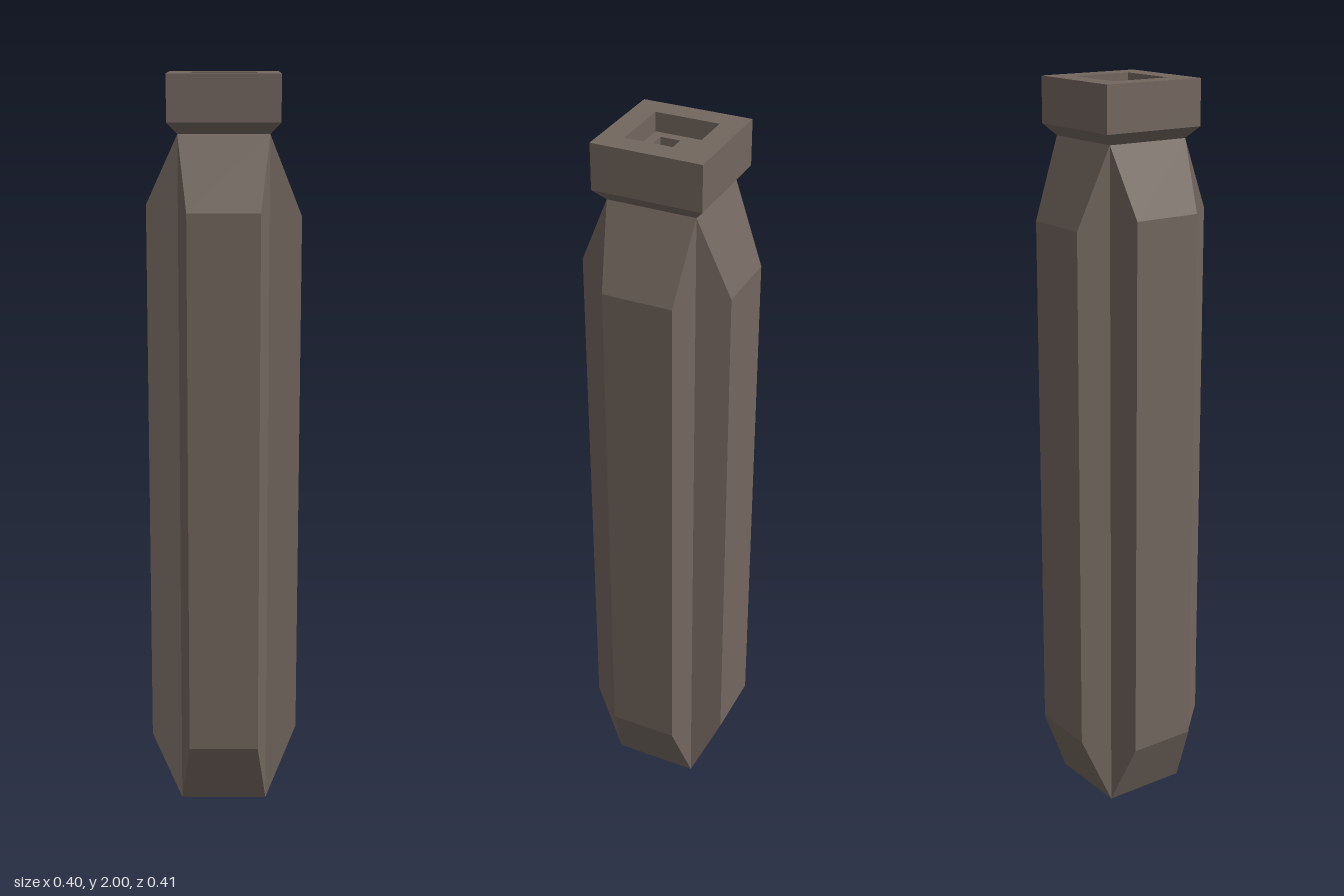
import * as THREE from 'three';

const CORE = 0.118, NECK_Y = 1.85, CAP = 0.145, CAP_Y = 1.88;

// Flat-shaded geometry from quads listed counter-clockwise seen from outside
function quads(list) {
  const pos = [];
  for (const [a, b, c, d] of list) pos.push(...a, ...b, ...c, ...a, ...c, ...d);
  const g = new THREE.BufferGeometry();
  g.setAttribute('position', new THREE.Float32BufferAttribute(pos, 3));
  g.computeVertexNormals();
  return g;
}

// One bulging side panel facing +z, tapering into the core at both ends
function panelGeometry(low, high, out) {
  const w = 0.094;
  const A0 = [-CORE, 0, CORE], B0 = [CORE, 0, CORE];
  const A1 = [-CORE, NECK_Y, CORE], B1 = [CORE, NECK_Y, CORE];
  const a0 = [-w, low, out], b0 = [w, low, out];
  const a1 = [-w, high, out], b1 = [w, high, out];
  return quads([
    [a0, b0, b1, a1],
    [a1, b1, B1, A1],
    [A0, B0, b0, a0],
    [A0, a0, a1, A1],
    [b0, B0, B1, b1],
  ]);
}

function rect(Type, x0, x1, y0, y1) {
  const p = new Type();
  p.moveTo(x0, y0).lineTo(x1, y0).lineTo(x1, y1).lineTo(x0, y1).closePath();
  return p;
}

// Square slab with a square hole, lying flat with its base at y
function slabWithHole(hole, y, height) {
  const s = rect(THREE.Shape, -CAP, CAP, -CAP, CAP);
  s.holes.push(rect(THREE.Path, ...hole));
  return new THREE.ExtrudeGeometry(s, { depth: height, bevelEnabled: false })
    .rotateX(-Math.PI / 2).translate(0, y, 0);
}

export function createModel() {
  const stone = new THREE.MeshStandardMaterial({ color: 0x73675f, flatShading: true });
  stone.name = 'brown stone';
  const model = new THREE.Group();
  model.name = 'pillar';
  const add = (name, geometry, parent) => {
    const m = new THREE.Mesh(geometry, stone);
    m.name = name;
    parent.add(m);
    return m;
  };

  // Shaft: four panels around a square core
  const shaft = new THREE.Group();
  shaft.name = 'shaft';
  const panels = [
    ['frontPanel', 0.19, 1.66, 0.203],
    ['leftPanel', 0.21, 1.64, 0.202],
    ['backPanel', 0.2, 1.64, 0.202],
    ['rightPanel', 0.185, 1.67, 0.201],
  ];
  panels.forEach(([name, low, high, out], i) => {
    add(name, panelGeometry(low, high, out), shaft).rotation.y = i * Math.PI / 2;
  });

  // Square underside
  add('base', new THREE.PlaneGeometry(2 * CORE, 2 * CORE).rotateX(Math.PI / 2), shaft);
  shaft.position.set(-0.002, 0, -0.001);
  model.add(shaft);

  // Cap: flared neck, solid bottom, recess floor with a small pit, open rim
  const cap = new THREE.Group();
  cap.name = 'cap';
  const flare = new THREE.CylinderGeometry(CAP * Math.SQRT2, CORE * Math.SQRT2, CAP_Y - NECK_Y, 4, 1, true);
  add('neckFlare', flare.rotateY(Math.PI / 4).translate(0, (NECK_Y + CAP_Y) / 2, 0), cap);
  add('capBottom', new THREE.BoxGeometry(2 * CAP, 0.04, 2 * CAP).translate(0, 1.9, 0), cap);
  add('recessFloor', slabWithHole([-0.06, -0.008, -0.06, -0.007], 1.92, 0.03), cap);
  add('capRim', slabWithHole([-0.085, 0.085, -0.085, 0.085], 1.95, 0.05), cap);
  cap.position.set(-0.002, 0, -0.001);
  model.add(cap);

  return model;
}
